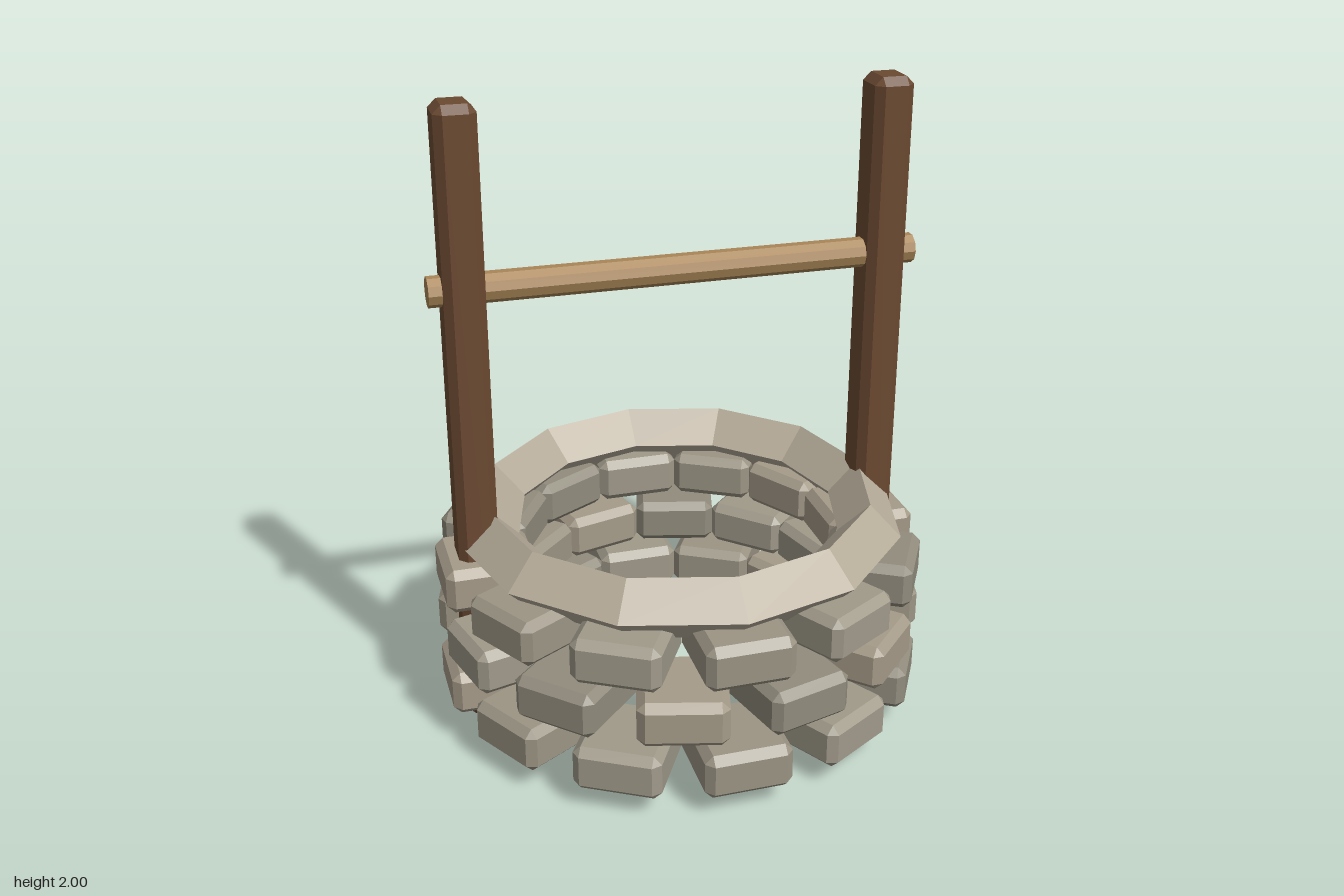
import * as THREE from 'three';
import { ConvexGeometry } from 'three/addons/geometries/ConvexGeometry.js';

const paint = (color) => new THREE.MeshStandardMaterial({ color, flatShading: true });

const stonePaints = [0x9c9585, 0xa59b89, 0x918c7d, 0xa09a8a].map(paint);
const rimPaint = paint(0xb5ab99);
const loosePaint = paint(0x85857c);
const postPaint = paint(0x6b4a32);
const rodPaint = paint(0xa98657);

// Box with every edge and corner cut off flat
function chamferBox(w, h, d, c) {
  const points = [];
  for (const x of [-w / 2, w / 2])
    for (const y of [-h / 2, h / 2])
      for (const z of [-d / 2, d / 2]) {
        const sx = Math.sign(x) * c, sy = Math.sign(y) * c, sz = Math.sign(z) * c;
        points.push(
          new THREE.Vector3(x, y - sy, z - sz),
          new THREE.Vector3(x - sx, y, z - sz),
          new THREE.Vector3(x - sx, y - sy, z)
        );
      }
  return new ConvexGeometry(points);
}

function addMesh(parent, name, geometry, material, x, y, z) {
  const mesh = new THREE.Mesh(geometry, material);
  mesh.name = name;
  mesh.position.set(x, y, z);
  parent.add(mesh);
  return mesh;
}

export function createModel() {
  const well = new THREE.Group();
  well.name = 'well';
  const centreZ = 0.025;

  // Three staggered courses of twelve stones
  const stoneGeometry = chamferBox(0.272, 0.147, 0.29, 0.025);
  const perCourse = 12;
  [0.138, 0.322, 0.507].forEach((y, row) => {
    const course = new THREE.Group();
    course.name = `stoneCourse${row + 1}`;
    course.position.set(0, y, centreZ);
    for (let i = 0; i < perCourse; i++) {
      const angle = ((i + (row % 2) / 2) / perCourse) * Math.PI * 2;
      const material = stonePaints[(i * 3 + row * 2 + (i >> 2)) % stonePaints.length];
      const stone = addMesh(course, 'stone', stoneGeometry, material,
        Math.sin(angle) * 0.628, 0, Math.cos(angle) * 0.628);
      stone.rotation.y = angle;
    }
    well.add(course);
  });

  // Diamond-section rim on top of the wall
  const rim = new THREE.TorusGeometry(0.62, 0.1, 4, 12).rotateX(Math.PI / 2);
  addMesh(well, 'rim', rim, rimPaint, 0, 0.62, centreZ);

  // Upright posts
  const postGeometry = chamferBox(0.125, 1.99, 0.143, 0.025);
  addMesh(well, 'leftPost', postGeometry, postPaint, 0.657, 1.005, 0.028);
  addMesh(well, 'rightPost', postGeometry, postPaint, -0.657, 1.005, 0.028);

  // Crossbar through the posts
  const rod = new THREE.CylinderGeometry(0.047, 0.047, 1.52, 10).rotateZ(Math.PI / 2);
  addMesh(well, 'crossbar', rod, rodPaint, 0, 1.447, 0.028);

  // Loose stone lying behind the wall
  const loose = addMesh(well, 'looseStone', chamferBox(0.155, 0.145, 0.175, 0.025),
    loosePaint, -0.472, 0.0725, -0.7);
  loose.rotation.y = 0.55;

  return well;
}
